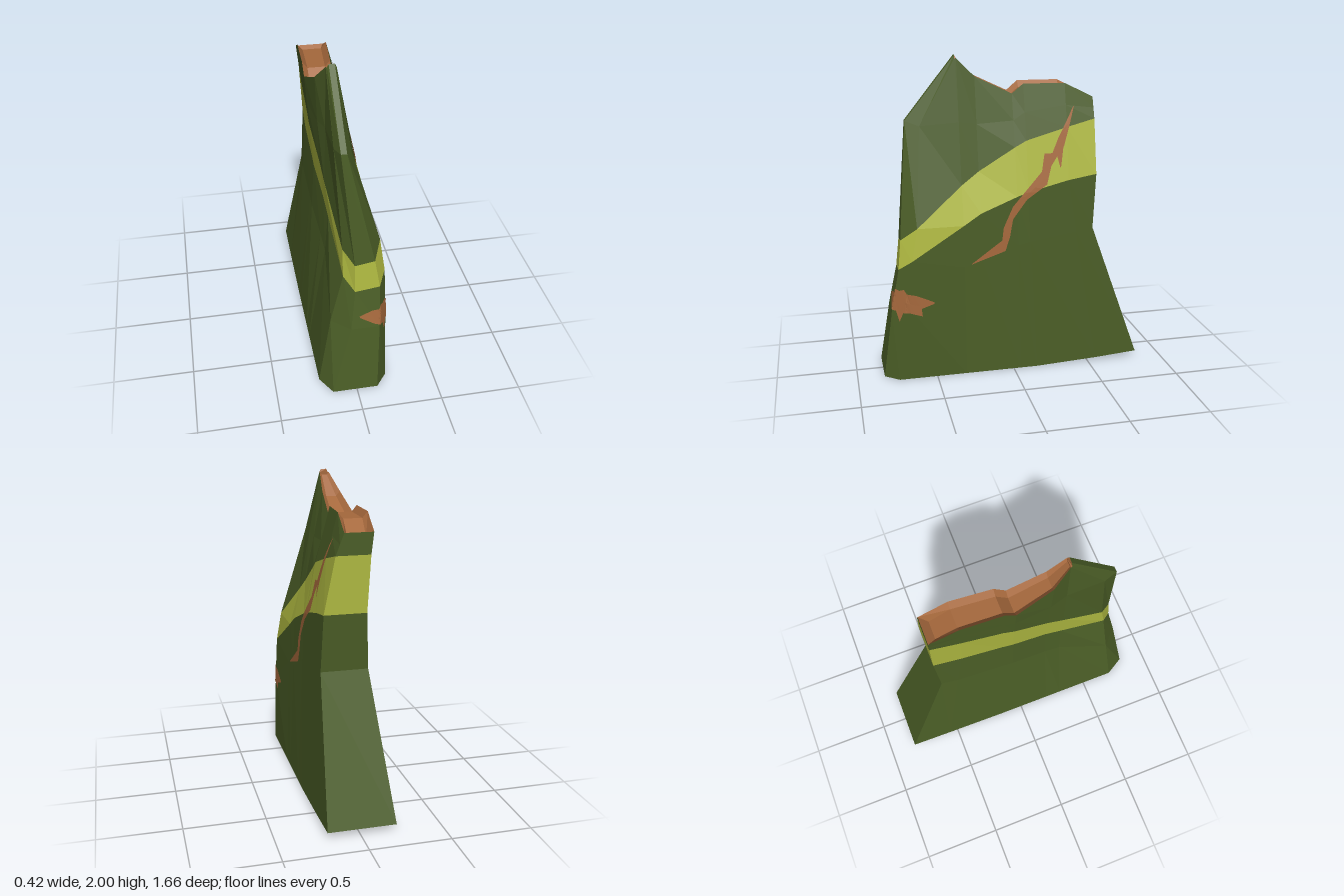
import * as THREE from 'three';

const mossGreen = new THREE.MeshStandardMaterial({ color: 0x4a5d26 });
const limeBand = new THREE.MeshStandardMaterial({ color: 0xaeb840 });
const brokenBrown = new THREE.MeshStandardMaterial({ color: 0xa5683c, side: THREE.DoubleSide });

const lerp = THREE.MathUtils.lerp;
const mix = (a, b, t) => a.map((v, i) => lerp(v, b[i], t));

// Flat-shaded mesh from a list of quads / triangles
function facets(name, faces, material) {
  const pos = [];
  for (const f of faces)
    for (let i = 1; i < f.length - 1; i++) pos.push(...f[0], ...f[i], ...f[i + 1]);
  const g = new THREE.BufferGeometry();
  g.setAttribute('position', new THREE.Float32BufferAttribute(pos, 3));
  g.computeVertexNormals();
  const m = new THREE.Mesh(g, material);
  m.name = name;
  return m;
}

// Stations along the slab: z, band bottom y, band top y, broken top y,
// then x at band bottom / band top / broken top for the left and right sides
const stations = [
  [-0.54, 1.26, 1.6, 1.73, 0.15, 0.08, 0.03, -0.11, -0.13, -0.145],
  [-0.36, 1.23, 1.555, 1.82, 0.15, 0.09, 0.02, -0.12, -0.14, -0.16],
  [-0.1, 1.165, 1.48, 1.82, 0.15, 0.09, 0.0, -0.12, -0.145, -0.17],
  [-0.03, 1.14, 1.44, 1.76, 0.15, 0.085, -0.01, -0.12, -0.145, -0.17],
  [0.2, 1.05, 1.3, 1.87, 0.16, 0.085, -0.03, -0.1, -0.12, -0.145],
  [0.31, 0.98, 1.22, 1.98, 0.168, 0.1, -0.04, -0.09, -0.11, -0.1],
];

// One vertical column of six points: base, waist, band bottom, band top, shoulder, top
function sideColumn(s, left) {
  const [z, yl, yh, yt] = s;
  const [xl, xh, xt] = left ? s.slice(4, 7) : s.slice(7);
  const zb = z < 0 ? z * 1.537 : z;
  const base = [left ? 0.2 : -0.22, Math.max(0, (-zb - 0.28) * 0.073), zb];
  const low = [xl, yl, z];
  const waist = mix(base, low, left ? 0.73 : 0.85);
  waist[1] = yl * 0.725;
  waist[2] = z < -0.5 ? -0.52 : lerp(zb, z, 0.73);
  const high = [xh, yh, z], top = [xt, yt, z];
  return [base, waist, low, high, mix(high, top, 0.5), top];
}

// Columns around the bevelled front end
const frontColumns = [
  [[0.2, 0, 0.74], [0.2, 0.5, 0.68], [0.195, 0.78, 0.64], [0.17, 0.98, 0.6], [0.0, 1.58, 0.55], [-0.04, 1.98, 0.32]],
  [[0.13, 0, 0.83], [0.145, 0.45, 0.77], [0.15, 0.72, 0.72], [0.12, 0.9, 0.7], [-0.04, 1.61, 0.635], [-0.05, 2, 0.32]],
  [[-0.15, 0, 0.83], [-0.03, 0.45, 0.77], [0, 0.7, 0.72], [0, 0.88, 0.7], [-0.075, 1.61, 0.635], [-0.085, 2, 0.32]],
  [[-0.22, 0, 0.71], [-0.14, 0.45, 0.67], [-0.06, 0.77, 0.65], [-0.06, 0.95, 0.62], [-0.1, 1.6, 0.55], [-0.095, 1.98, 0.32]],
];

export function createModel() {
  const group = new THREE.Group();
  const columns = [
    ...stations.map((s) => sideColumn(s, true)),
    ...frontColumns,
    ...stations.map((s) => sideColumn(s, false)).reverse(),
  ];

  // Slab walls, row by row
  const rows = (from, to) => {
    const faces = [];
    for (let r = from; r < to; r++)
      columns.forEach((a, i) => {
        const b = columns[(i + 1) % columns.length];
        faces.push([a[r], a[r + 1], b[r + 1], b[r]]);
      });
    return faces;
  };
  const underside = columns.map((c) => c[0]);
  const walls = [
    facets('lowerSlab', [...rows(0, 2), underside], mossGreen),
    facets('paintedBand', rows(2, 3), limeBand),
    facets('upperSlab', rows(3, 5), mossGreen),
  ];
  group.add(...walls);

  // Broken top: a shallow trough with sloping edges that narrows to the peak
  const trough = stations.map(([z, , , y, , , xl, , , xr], i) => {
    const inset = Math.min(0.032, (xl - xr) * 0.22);
    const floorY = y - inset * 1.2;
    const floorZ = i === 0 ? z + 0.05 : z;
    return [[xl, y, z], [xl - inset, floorY, floorZ], [xr + inset, floorY, floorZ], [xr, y, z]];
  });
  const broken = [trough[0]];
  for (let i = 0; i < trough.length - 1; i++)
    for (let k = 0; k < 3; k++)
      broken.push([trough[i][k], trough[i][k + 1], trough[i + 1][k + 1], trough[i + 1][k]]);
  const tip = trough[trough.length - 1];
  broken.push([...tip, ...frontColumns.map((c) => c[5]).reverse()]);
  group.add(facets('brokenTop', broken, brokenBrown));

  // Cracks: ribbons laid on the walls. Rows are [u1, y1, u2, y2], with u running
  // to the right as seen from the given angle (0 = left side, 45 degrees = front corner)
  const ray = new THREE.Raycaster();
  const onWall = (u, y, angle) => {
    const d = new THREE.Vector3(Math.cos(angle), 0, Math.sin(angle));
    const p = new THREE.Vector3(Math.sin(angle) * u, y, -Math.cos(angle) * u);
    ray.set(p.addScaledVector(d, 3), d.clone().negate());
    const hit = ray.intersectObjects(walls)[0];
    return hit ? hit.point.addScaledVector(d, 0.006).toArray() : null;
  };
  const crack = (name, ribbon, angle) => {
    const faces = [], steps = 4;
    let last = null;
    for (let i = 0; i < ribbon.length; i++)
      for (let s = 0; s < (i < ribbon.length - 1 ? steps : 1); s++) {
        const [u1, y1, u2, y2] = s ? mix(ribbon[i], ribbon[i + 1], s / steps) : ribbon[i];
        const row = [onWall(u1, y1, angle), onWall((u1 + u2) / 2, (y1 + y2) / 2, angle), onWall(u2, y2, angle)];
        if (last && [...row, ...last].every(Boolean))
          for (let k = 0; k < 2; k++) faces.push([last[k], last[k + 1], row[k + 1], row[k]]);
        last = row;
      }
    group.add(facets(name, faces, brokenBrown));
  };

  crack('longCrack', [
    [-0.27, 0.73, -0.265, 0.73],
    [-0.07, 0.87, -0.05, 0.8],
    [-0.06, 0.95, -0.02, 0.89],
    [0.0, 1.08, 0.0, 1.0],
    [0.07, 1.16, 0.09, 1.12],
    [0.19, 1.29, 0.22, 1.21],
    [0.21, 1.4, 0.25, 1.32],
    [0.26, 1.4, 0.29, 1.38],
    [0.3, 1.49, 0.335, 1.44],
    [0.405, 1.68, 0.41, 1.68],
  ], 0);
  crack('crackSpur', [
    [0.28, 1.42, 0.335, 1.46],
    [0.308, 1.31, 0.312, 1.31],
  ], 0);
  crack('cornerChip', [
    [-0.52, 0.535, -0.52, 0.525],
    [-0.46, 0.565, -0.46, 0.47],
    [-0.43, 0.57, -0.43, 0.46],
    [-0.42, 0.6, -0.41, 0.46],
    [-0.39, 0.59, -0.385, 0.39],
    [-0.36, 0.6, -0.36, 0.45],
    [-0.34, 0.575, -0.33, 0.45],
    [-0.3, 0.56, -0.27, 0.42],
    [-0.27, 0.54, -0.275, 0.47],
    [-0.22, 0.505, -0.22, 0.495],
  ], Math.PI / 4);

  return group;
}
